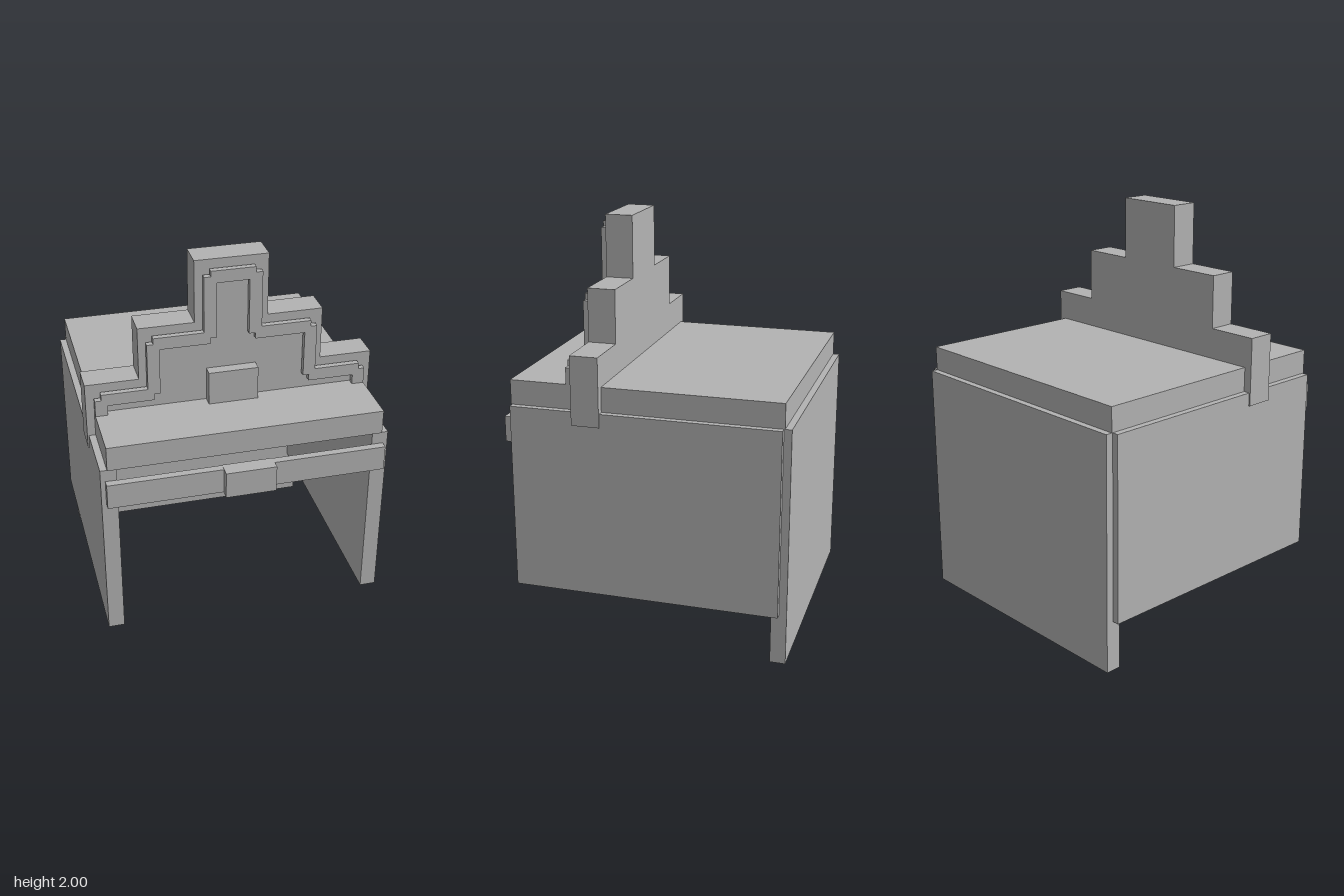
import * as THREE from 'three';

export function createModel() {
  const model = new THREE.Group();
  model.name = 'steppedShelter';
  const grey = new THREE.MeshStandardMaterial({ color: 0xb3b3b3 });
  grey.name = 'plainGrey';

  const add = (name, geometry) => {
    const mesh = new THREE.Mesh(geometry, grey);
    mesh.name = name;
    model.add(mesh);
  };

  // Box given by its limits on each axis
  const box = (name, x0, x1, y0, y1, z0, z1) => {
    const g = new THREE.BoxGeometry(x1 - x0, y1 - y0, z1 - z0);
    g.translate((x0 + x1) / 2, (y0 + y1) / 2, (z0 + z1) / 2);
    add(name, g);
  };

  // Upright plate from an outline
  const plate = (name, points, z0, z1) => {
    const shape = new THREE.Shape(points.map(([x, y]) => new THREE.Vector2(x, y)));
    const g = new THREE.ExtrudeGeometry(shape, { depth: z1 - z0, bevelEnabled: false });
    g.translate(0, 0, z0);
    add(name, g);
  };

  // Right half of an outline, from bottom to top, joined to its mirror image
  const mirrored = (half) => [...half, ...half.map(([x, y]) => [-x, y]).reverse()];

  // Walls and roof
  box('leftWall', 0.61, 0.687, 0.25, 1.165, -0.67, 0.63);
  box('rightWall', -0.687, -0.61, 0.25, 1.165, -0.67, 0.63);
  box('backWall', -0.655, 0.655, 0, 1.165, -0.707, -0.632);
  box('roofSlab', -0.655, 0.655, 1.165, 1.285, -0.675, 0.636);

  // Stepped parapet straddling the roof
  plate('parapet', mirrored([
    [0.694, 1.1], [0.694, 1.435], [0.44, 1.435], [0.44, 1.695], [0.174, 1.695], [0.174, 2],
  ]), 0.186, 0.322);

  // Raised trim following the steps, with notched corners
  const outer = [
    [0.655, 1.28], [0.655, 1.365], [0.625, 1.365], [0.625, 1.395], [0.405, 1.395], [0.405, 1.625],
    [0.375, 1.625], [0.375, 1.655], [0.137, 1.655], [0.137, 1.93], [0.105, 1.93], [0.105, 1.957],
  ];
  const inner = [
    [0.597, 1.28], [0.597, 1.335], [0.375, 1.335], [0.375, 1.367], [0.346, 1.367], [0.346, 1.595],
    [0.107, 1.595], [0.107, 1.625], [0.076, 1.625], [0.076, 1.897],
  ];
  plate('parapetTrim', [...mirrored(outer), ...mirrored(inner).reverse()], 0.329, 0.358);
  box('parapetBlock', -0.119, 0.119, 1.28, 1.45, 0.32, 0.375);

  // Front crossbar with centre block
  box('crossbar', -0.665, 0.665, 0.98, 1.105, 0.63, 0.667);
  box('crossbarBlock', -0.121, 0.121, 0.975, 1.107, 0.63, 0.707);

  return model;
}
